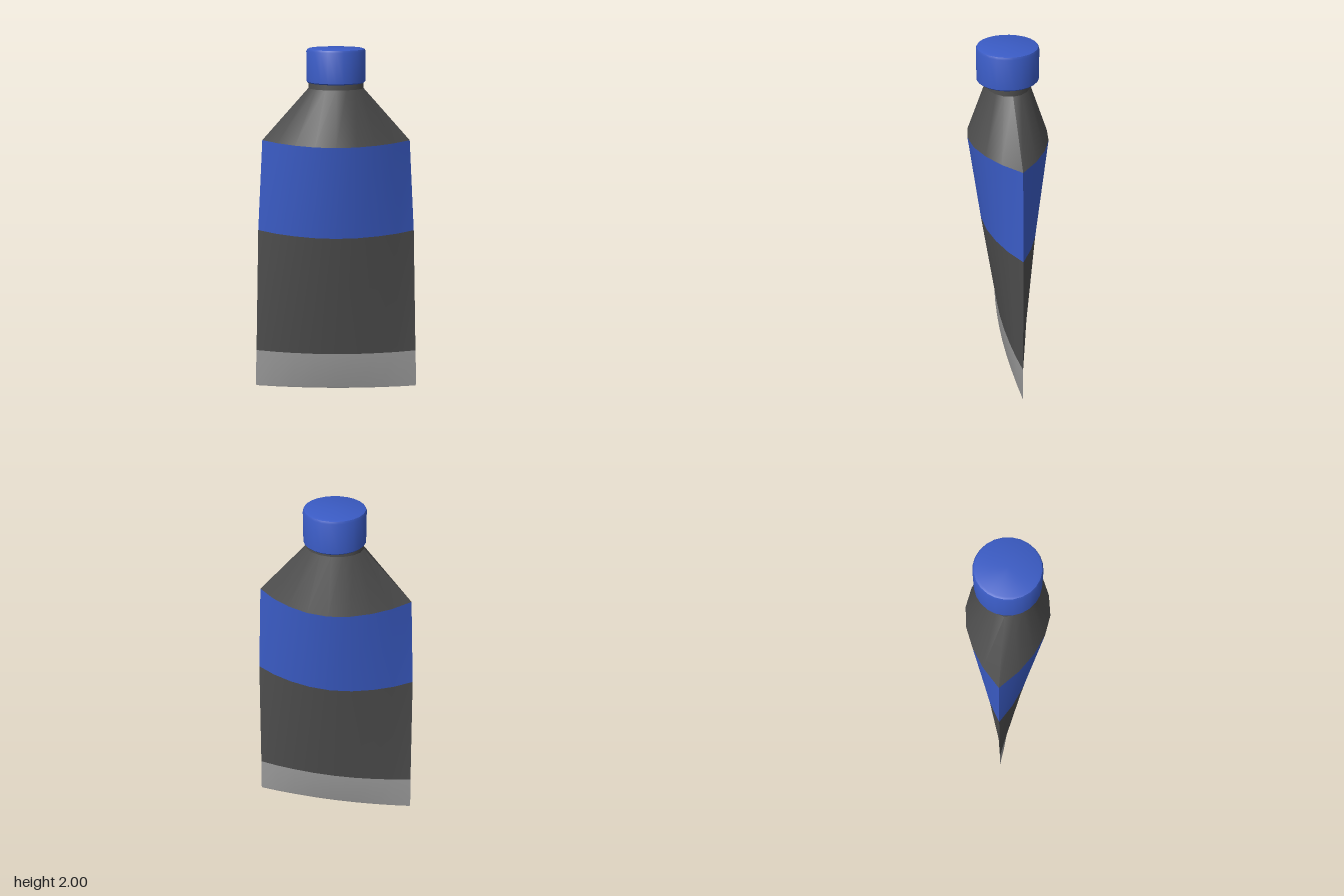
import * as THREE from 'three';
import { toCreasedNormals } from 'three/addons/utils/BufferGeometryUtils.js';

const BLUE = 0x3a5bc4, DARK = 0x4d4d4d, GREY = 0x9a9a9a;
const SIDES = 16;

// Quarter of the pointed, lens-shaped section: x and z factors from middle to tip
const LENS_X = [0, 0.27, 0.53, 0.77, 1];
const LENS_Z = [1, 0.92, 0.71, 0.41, 0];

// One closed ring: w and d are half width and half depth, round = 1 gives an ellipse
function ring({ y, w, d, round = 0 }) {
  const points = [];
  for (let i = 0; i < SIDES; i++) {
    const a = (i / SIDES) * Math.PI * 2;
    const step = i % 8;
    const k = step <= 4 ? step : 8 - step;
    const x = Math.sign(Math.round(Math.sin(a) * 1e6)) * THREE.MathUtils.lerp(LENS_X[k], Math.abs(Math.sin(a)), round);
    const z = Math.sign(Math.round(Math.cos(a) * 1e6)) * THREE.MathUtils.lerp(LENS_Z[k], Math.abs(Math.cos(a)), round);
    points.push([x * w, y, z * d]);
  }
  return points;
}

// Skin between rings listed from bottom to top, optionally closed underneath
function loft(name, color, sections, closeBottom = false) {
  const rings = sections.map(ring);
  const index = [];
  for (let r = 0; r < rings.length - 1; r++) {
    for (let i = 0; i < SIDES; i++) {
      const j = (i + 1) % SIDES;
      const a = r * SIDES + i, b = r * SIDES + j;
      index.push(a, b, b + SIDES, a, b + SIDES, a + SIDES);
    }
  }
  if (closeBottom) {
    for (let i = 1; i < SIDES - 1; i++) index.push(0, i + 1, i);
  }
  const geometry = new THREE.BufferGeometry();
  geometry.setAttribute('position', new THREE.Float32BufferAttribute(rings.flat(2), 3));
  geometry.setIndex(index);
  return part(name, color, toCreasedNormals(geometry, 0.7));
}

function part(name, color, geometry) {
  const mesh = new THREE.Mesh(geometry, new THREE.MeshStandardMaterial({ color, side: THREE.DoubleSide }));
  mesh.name = name;
  return mesh;
}

export function createModel() {
  const group = new THREE.Group();
  group.name = 'squeezeTube';

  // Shared sections of the body
  const bottom = { y: 0, w: 0.485, d: 0.03 };
  const rim = { y: 0.012, w: 0.49, d: 0.034 };
  const crimpTop = { y: 0.24, w: 0.477, d: 0.05 };
  const bandBottom = { y: 1, w: 0.44, d: 0.152 };
  const bandTop = { y: 1.515, w: 0.4, d: 0.212 };
  const neckBase = { y: 1.795, w: 0.146, d: 0.112, round: 1 };
  const neckTop = { y: 1.85, w: 0.143, d: 0.108, round: 1 };

  group.add(
    loft('crimpedEnd', GREY, [bottom, rim, crimpTop], true),
    loft('lowerBody', DARK, [crimpTop, bandBottom]),
    loft('colourBand', BLUE, [bandBottom, bandTop]),
    loft('shoulder', DARK, [bandTop, neckBase]),
    loft('neck', DARK, [neckBase, neckTop])
  );

  // Screw cap with a softened top edge
  const profile = [[0, 1.826], [0.15, 1.826], [0.156, 1.832], [0.155, 1.985], [0.15, 1.996], [0.14, 2], [0, 2]]
    .map(([r, y]) => new THREE.Vector2(r, y));
  group.add(part('cap', BLUE, toCreasedNormals(new THREE.LatheGeometry(profile, 24), 0.7)));

  return group;
}
